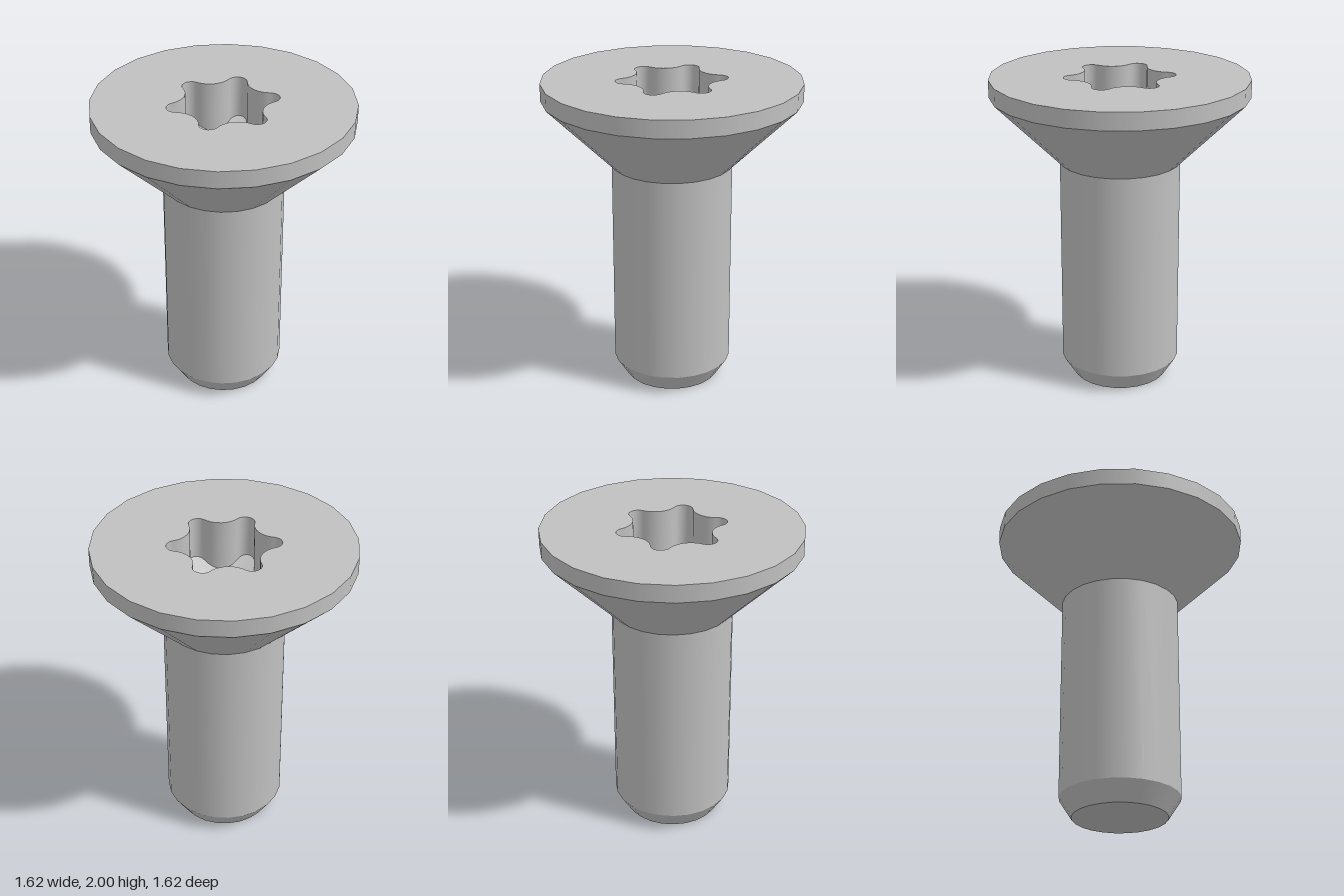
import * as THREE from 'three';

const SIDES = 24;
const TOP = 2, HEAD_R = 0.81, SHANK_R = 0.38, TIP_R = 0.3;
const LOBE_TIP = 0.35, RIM_Y = 1.73, CONE_SLOPE = 0.577;

// Six-lobed outline made of tangent arcs: round lobes joined by hollows
function socketOutline() {
  const lobeR = 0.06, lobeD = LOBE_TIP - lobeR, hollowD = 0.3925, hollowR = hollowD - 0.25;
  const hx = hollowD * Math.cos(Math.PI / 6), hy = hollowD * Math.sin(Math.PI / 6);
  const join = Math.atan2(hy, hx - lobeD); // direction from lobe centre to hollow centre
  const mid = Math.PI / 6 + Math.PI, sweep = mid - (join + Math.PI);
  const points = [];
  const add = (x, y, turn) => points.push(new THREE.Vector2(x, y).rotateAround(new THREE.Vector2(), turn));
  for (let k = 0; k < 6; k++) {
    const turn = k * Math.PI / 3;
    for (let i = 0; i <= 10; i++) {
      const a = -join + 2 * join * i / 10;
      add(lobeD + lobeR * Math.cos(a), lobeR * Math.sin(a), turn);
    }
    for (let i = 1; i < 10; i++) {
      const a = mid - sweep * (1 - 2 * i / 10);
      // the hollow runs from this lobe round to the next one
      const b = 2 * mid - a;
      add(hx + hollowR * Math.cos(b), hy + hollowR * Math.sin(b), turn);
    }
  }
  // keep the outline running by angle around the axis
  const angle = p => (Math.atan2(p.y, p.x) + 2 * Math.PI) % (2 * Math.PI);
  return points.sort((p, q) => angle(p) - angle(q));
}

// Surface between two closed rings of points, facing the axis
function loft(upper, lower) {
  const n = upper.length, index = [];
  for (let i = 0; i < n; i++) {
    const j = (i + 1) % n;
    index.push(i, n + i, j, j, n + i, n + j);
  }
  const geometry = new THREE.BufferGeometry().setFromPoints([...upper, ...lower]);
  geometry.setIndex(index);
  geometry.computeVertexNormals();
  return geometry;
}

export function createModel() {
  const group = new THREE.Group();
  const steel = new THREE.MeshStandardMaterial({ color: 0xc0c0c0 });
  steel.name = 'steel';
  const add = (name, geometry) => {
    const mesh = new THREE.Mesh(geometry, steel);
    mesh.name = name;
    group.add(mesh);
  };

  // Turned bands, kept separate so the edges between them stay sharp
  const bands = [
    ['tipChamfer', TIP_R, 0, SHANK_R, 0.125],
    ['shank', SHANK_R, 0.125, SHANK_R, 1.46],
    ['countersink', SHANK_R, 1.46, HEAD_R, 1.89],
    ['headRim', HEAD_R, 1.89, HEAD_R, TOP],
  ];
  for (const [name, r0, y0, r1, y1] of bands) {
    add(name, new THREE.LatheGeometry([new THREE.Vector2(r0, y0), new THREE.Vector2(r1, y1)], SIDES));
  }
  add('tipFace', new THREE.CircleGeometry(TIP_R, SIDES).rotateX(Math.PI / 2));

  // Flat head face with the socket cut out
  const outline = socketOutline();
  const disc = [];
  for (let i = 0; i < SIDES; i++) {
    const a = i / SIDES * Math.PI * 2;
    disc.push(new THREE.Vector2(HEAD_R * Math.cos(a), HEAD_R * Math.sin(a)));
  }
  const face = new THREE.Shape(disc);
  face.holes.push(new THREE.Path(outline));
  add('headFace', new THREE.ShapeGeometry(face).rotateX(-Math.PI / 2).translate(0, TOP, 0));

  // Socket walls down to a conical floor
  const floorY = r => RIM_Y - (LOBE_TIP - r) * CONE_SLOPE;
  const rim = outline.map(p => new THREE.Vector3(p.x, TOP, p.y));
  const foot = outline.map(p => new THREE.Vector3(p.x, floorY(p.length()), p.y));
  const apex = outline.map(() => new THREE.Vector3(0, floorY(0), 0));
  add('socketWall', loft(rim, foot));
  add('socketFloor', loft(foot, apex));

  return group;
}
